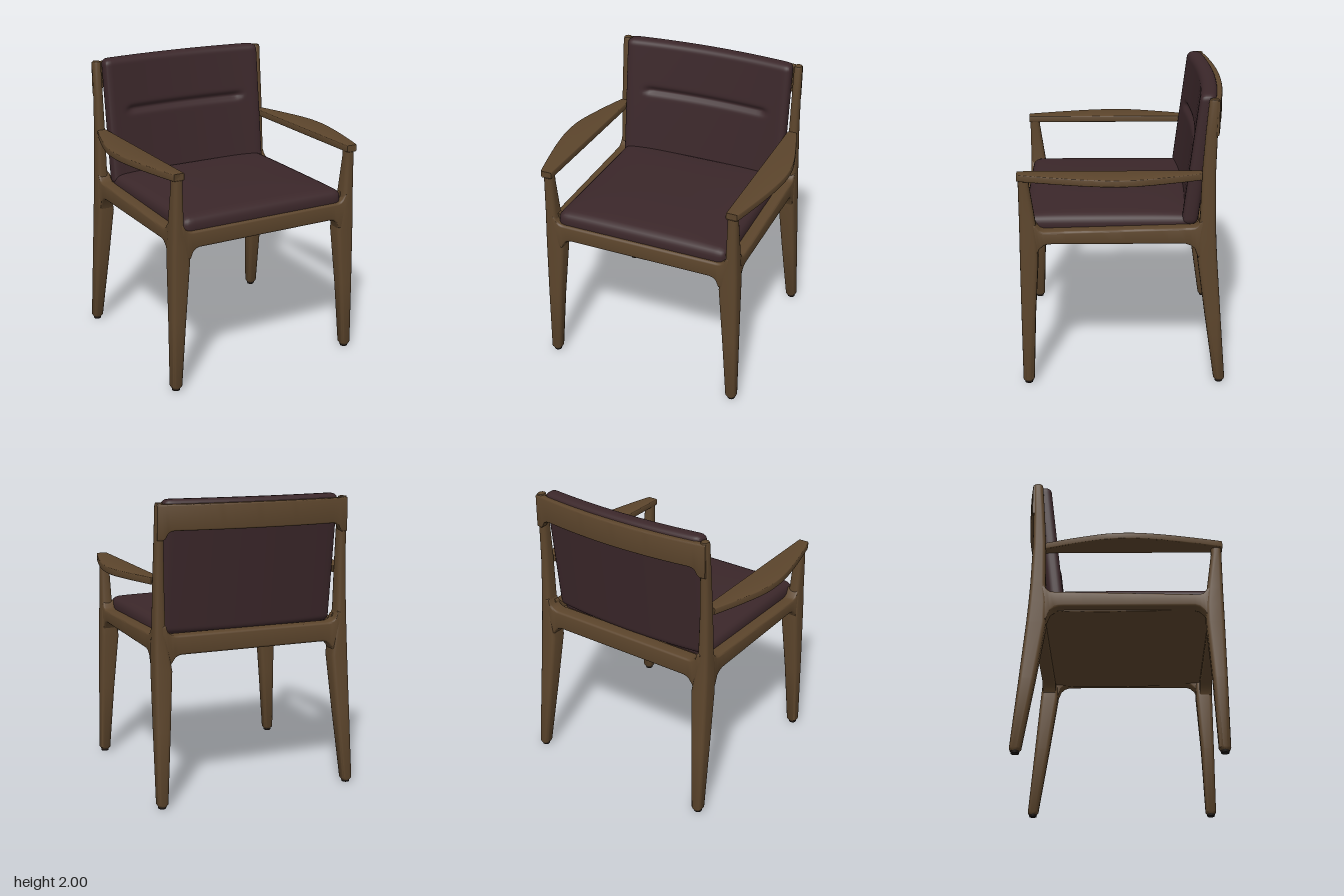
import * as THREE from 'three';
import { mergeVertices, toCreasedNormals } from 'three/addons/utils/BufferGeometryUtils.js';

// Rounded-rectangle loft along an axis; stations are [s, a0, a1, b0, b1].
// (a, b) follow the axis cyclically: x -> y,z   y -> z,x   z -> x,y
function loft(axis, stations, radius = 0.015) {
  const k = 'xyz'.indexOf(axis), pos = [], idx = [], steps = 3, n = 4 * (steps + 1);
  for (const [s, a0, a1, b0, b1] of stations) {
    const r = Math.min(radius, (a1 - a0) * 0.48, (b1 - b0) * 0.48);
    for (let c = 0; c < 4; c++) {
      const ca = c === 0 || c === 3 ? a1 - r : a0 + r;
      const cb = c < 2 ? b1 - r : b0 + r;
      for (let i = 0; i <= steps; i++) {
        const t = (c + i / steps) * Math.PI / 2, p = [0, 0, 0];
        p[k] = s;
        p[(k + 1) % 3] = ca + r * Math.cos(t);
        p[(k + 2) % 3] = cb + r * Math.sin(t);
        pos.push(...p);
      }
    }
  }
  const last = (stations.length - 1) * n;
  for (let o = 0; o < last; o += n)
    for (let j = 0; j < n; j++) {
      const a = o + j, b = o + (j + 1) % n;
      idx.push(a, b, b + n, a, b + n, a + n);
    }
  for (let j = 1; j < n - 1; j++) idx.push(0, j + 1, j, last, last + j, last + j + 1);
  const g = new THREE.BufferGeometry();
  g.setAttribute('position', new THREE.Float32BufferAttribute(pos, 3));
  g.setIndex(idx);
  return toCreasedNormals(g, 0.7);
}

// Stations from lo to hi, denser near both ends
function stations(lo, hi, count, f) {
  return Array.from({ length: count + 1 }, (_, i) => {
    const s = (lo + hi) / 2 - (hi - lo) / 2 * Math.cos(Math.PI * i / count);
    return [s, ...f(s)];
  });
}

// Height of a concave fillet of radius r at distance d from the corner
function fillet(d, r) {
  const e = r - THREE.MathUtils.clamp(d, 0, r);
  return r - Math.sqrt(r * r - e * e);
}

// Rounded box with dense faces, reshaped by a rule
function cushion(w, h, d, segs, r, rule) {
  let g = new THREE.BoxGeometry(w, h, d, ...segs);
  g.deleteAttribute('uv');
  g.deleteAttribute('normal');
  g = mergeVertices(g);
  const half = new THREE.Vector3(w / 2 - r, h / 2 - r, d / 2 - r);
  const low = half.clone().negate(), p = new THREE.Vector3(), q = new THREE.Vector3();
  const at = g.attributes.position;
  for (let i = 0; i < at.count; i++) {
    p.fromBufferAttribute(at, i);
    q.copy(p).clamp(low, half);
    p.sub(q).setLength(r).add(q);
    rule(p);
    at.setXYZ(i, p.x, p.y, p.z);
  }
  g.computeVertexNormals();
  return g;
}

export function createModel() {
  const chair = new THREE.Group();
  chair.name = 'armchair';
  const wood = new THREE.MeshStandardMaterial({ color: 0x5c452c });
  const leather = new THREE.MeshStandardMaterial({ color: 0x3b272a });
  const glide = new THREE.MeshStandardMaterial({ color: 0x1c1612 });
  wood.name = 'walnut wood';
  leather.name = 'dark upholstery';
  glide.name = 'black glide';
  const add = (name, geometry, material) => {
    const m = new THREE.Mesh(geometry, material);
    m.name = name;
    chair.add(m);
    return m;
  };

  for (const side of [1, -1]) {
    const label = side > 0 ? 'left' : 'right';
    const xs = (lo, hi) => side > 0 ? [lo, hi] : [-hi, -lo];

    // Legs: [y, z0, z1, x0, x1]
    const leg = (name, rows) => add(label + name,
      loft('y', rows.map(([y, z0, z1, x0, x1]) => [y, z0, z1, ...xs(x0, x1)]), 0.025), wood);
    leg('FrontLeg', [
      [0.015, 0.62, 0.678, 0.65, 0.705], [0.03, 0.61, 0.685, 0.64, 0.715],
      [0.5, 0.59, 0.684, 0.605, 0.708], [0.9, 0.563, 0.682, 0.572, 0.7],
      [1.02, 0.562, 0.681, 0.59, 0.697], [1.15, 0.573, 0.68, 0.615, 0.692],
      [1.42, 0.61, 0.68, 0.62, 0.686], [1.47, 0.61, 0.68, 0.62, 0.686],
    ]);
    leg('BackLeg', [
      [0.015, -0.68, -0.62, 0.65, 0.705], [0.03, -0.685, -0.61, 0.64, 0.715],
      [0.5, -0.645, -0.54, 0.605, 0.706], [0.9, -0.612, -0.484, 0.578, 0.698],
      [1.05, -0.602, -0.482, 0.6, 0.695], [1.2, -0.595, -0.494, 0.617, 0.69],
      [1.5, -0.588, -0.5, 0.62, 0.682], [1.75, -0.592, -0.516, 0.62, 0.677],
      [1.965, -0.6, -0.533, 0.62, 0.674], [1.98, -0.595, -0.538, 0.624, 0.67],
    ]);

    // Glides under the feet
    for (const z of [0.648, -0.648]) {
      const foot = add(label + 'Glide', new THREE.CylinderGeometry(0.03, 0.026, 0.02, 16), glide);
      foot.position.set(side * 0.678, 0.01, z);
    }

    // Side rail with fillets into both legs
    add(label + 'SideRail', loft('z', stations(-0.54, 0.63, 36, z => [
      ...xs(0.6, 0.69),
      1.017 - fillet(0.565 - z, 0.08) - fillet(z + 0.485, 0.1),
      1.118 - 0.025 * z + fillet(0.577 - z, 0.06) + fillet(z + 0.495, 0.05),
    ])), wood);

    // Armrest, bowed outward
    const bow = new THREE.SplineCurve([
      [-0.5, 0.684], [-0.46, 0.697], [-0.3, 0.747], [-0.1, 0.798], [0.05, 0.811],
      [0.2, 0.8], [0.4, 0.764], [0.66, 0.702], [0.68, 0.685],
    ].map(([z, x]) => new THREE.Vector2(z, x)));
    add(label + 'Armrest', loft('z', bow.getPoints(40).map(p =>
      [p.x, ...xs(0.617, p.y), 1.455, 1.502]), 0.007), wood);
  }

  // Front and back seat rails
  add('frontRail', loft('x', stations(-0.64, 0.64, 48, x => [
    0.986 - fillet(0.572 - Math.abs(x), 0.07),
    1.1 + fillet(0.62 - Math.abs(x), 0.06), 0.59, 0.68])), wood);
  add('backRail', loft('x', stations(-0.64, 0.64, 48, x => [
    1.0 - fillet(0.58 - Math.abs(x), 0.07),
    1.13 + fillet(0.618 - Math.abs(x), 0.07), -0.598, -0.5])), wood);

  // Curved top rail across the back
  add('topRail', loft('x', stations(-0.67, 0.67, 48, x => {
    const back = -0.6 - 0.06 * (1 - (x / 0.67) ** 2);
    return [1.805 - fillet(0.62 - Math.abs(x), 0.06), 1.972, back, back + 0.047];
  }), 0.01), wood);

  // Closed underside of the seat
  add('seatPanel', loft('z', stations(-0.53, 0.62, 16, z =>
    [-0.63, 0.63, 1.022 - 0.018 * Math.cos(z * 2.4 + 0.3), 1.09]), 0.005), wood);

  // Crowned seat cushion
  add('seatCushion', cushion(1.222, 0.13, 1.115, [44, 8, 44], 0.055, p => {
    const crown = (1 - Math.abs(p.x / 0.611) ** 4) * (1 - Math.abs(p.z / 0.558) ** 4);
    if (p.y > 0) p.y += 0.026 * crown;
    p.y += 1.12;
    p.z += 0.102;
  }), leather);

  // Back cushion: raked, curved across, with one pressed horizontal pleat
  add('backCushion', cushion(1.234, 0.885, 0.108, [48, 90, 8], 0.042, p => {
    const y = p.y + 1.5575;
    if (p.z > 0) {
      const ends = 1 - THREE.MathUtils.smoothstep(Math.abs(p.x), 0.42, 0.49);
      p.z -= 0.026 * ends * Math.exp(-(((y - 1.635) / 0.025) ** 2));
    }
    p.z += -0.428 - 0.12 * (y - 1.15) - 0.045 * (1 - (p.x / 0.617) ** 2);
    p.y = y;
  }), leather);

  return chair;
}
